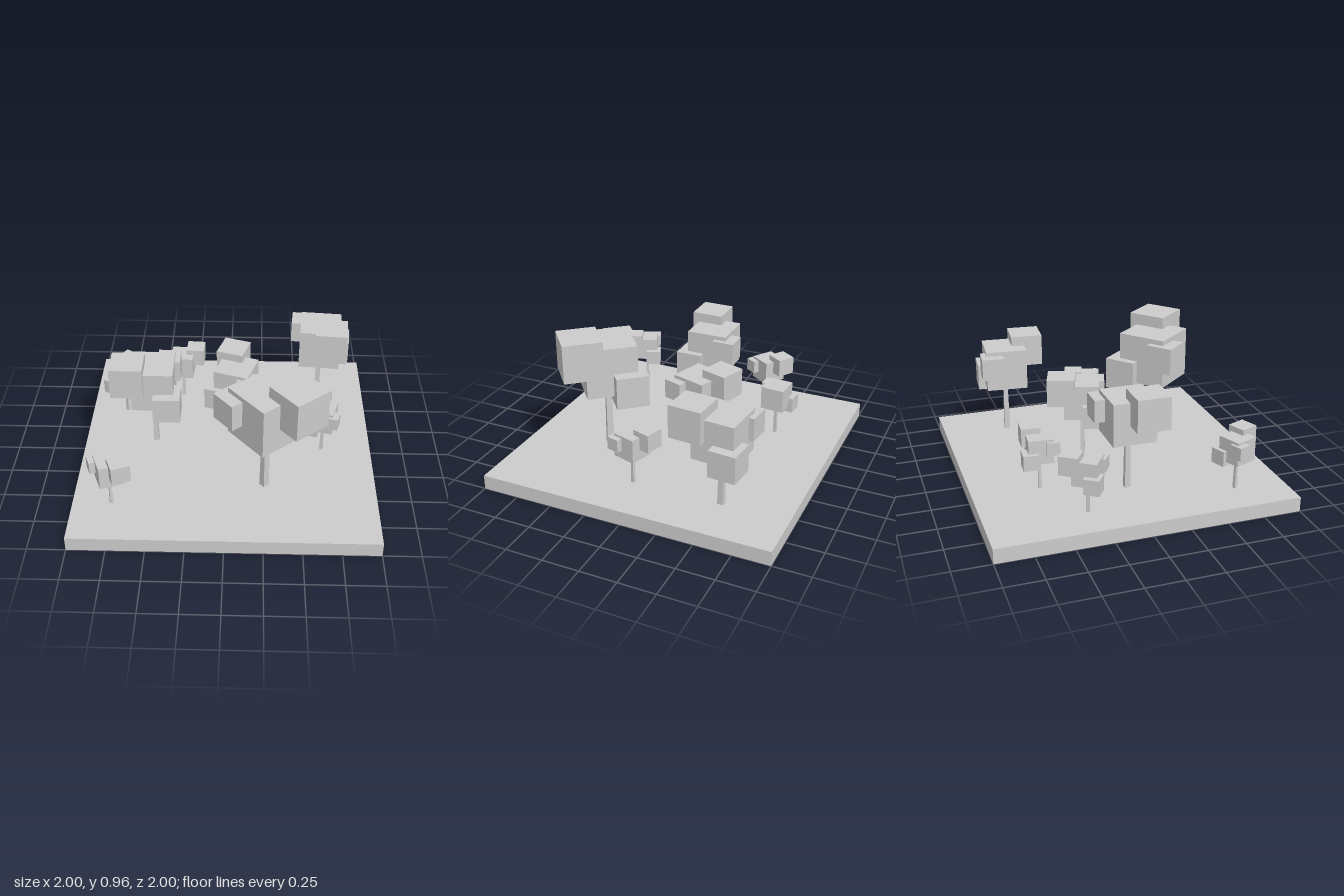
import * as THREE from 'three';

const BASE_TOP = 0.1;
const material = new THREE.MeshStandardMaterial({ color: 0xcccccc, flatShading: true });
const openMaterial = new THREE.MeshStandardMaterial({ color: 0xcccccc, flatShading: true, side: THREE.DoubleSide });

// Foliage cubes in units of the crown size: name, size, centre x, y, z
const FOLIAGE = [
  ['crownMain', 1, 0, 1.761, 0],
  ['crownUpper', 0.768, 0.273, 2.109, 0.568],
  ['crownLower', 0.638, 0.413, 1.406, -0.343],
  ['crownSmall', 0.538, -0.471, 1.896, -0.358],
];

// Trees: x, z, crown size, turn in degrees
const TREES = [
  [0.257, 0.457, 0.345, 40],
  [0.655, -0.543, 0.286, -5],
  [0.056, -0.136, 0.243, 162],
  [-0.505, -0.005, 0.286, -90],
  [-0.345, -0.548, 0.164, 86],
  [-0.746, -0.345, 0.163, 146],
  [0.658, 0.072, 0.162, 163],
  [-0.743, 0.658, 0.162, 22],
];

function addMesh(parent, name, geometry, mat = material) {
  const mesh = new THREE.Mesh(geometry, mat);
  mesh.name = name;
  parent.add(mesh);
  return mesh;
}

// Ground slab: a top and four walls, open underneath
function createGround() {
  const ground = new THREE.Group();
  ground.name = 'ground';
  const top = addMesh(ground, 'groundTop', new THREE.PlaneGeometry(2, 2), openMaterial);
  top.rotation.x = -Math.PI / 2;
  top.position.y = BASE_TOP;
  for (let i = 0; i < 4; i++) {
    const wall = new THREE.PlaneGeometry(2, BASE_TOP);
    wall.translate(0, BASE_TOP / 2, 1).rotateY((i * Math.PI) / 2);
    addMesh(ground, 'groundWall', wall, openMaterial);
  }
  return ground;
}

// Tree: tapered square trunk and a cluster of four cubes
function createTree(x, z, size, degrees) {
  const tree = new THREE.Group();
  tree.name = 'tree';
  const trunk = new THREE.CylinderGeometry(0.1 * Math.SQRT1_2, 0.135 * Math.SQRT1_2, 1.5, 4);
  trunk.rotateY(Math.PI / 4).translate(0, 0.75, 0);
  addMesh(tree, 'trunk', trunk);
  for (const [name, s, cx, cy, cz] of FOLIAGE) {
    addMesh(tree, name, new THREE.BoxGeometry(s, s, s)).position.set(cx, cy, cz);
  }
  tree.position.set(x, BASE_TOP, z);
  tree.rotation.y = THREE.MathUtils.degToRad(degrees);
  tree.scale.setScalar(size);
  return tree;
}

export function createModel() {
  const model = new THREE.Group();
  model.name = 'cubeTreeGrove';
  model.add(createGround());
  for (const t of TREES) model.add(createTree(...t));
  return model;
}
